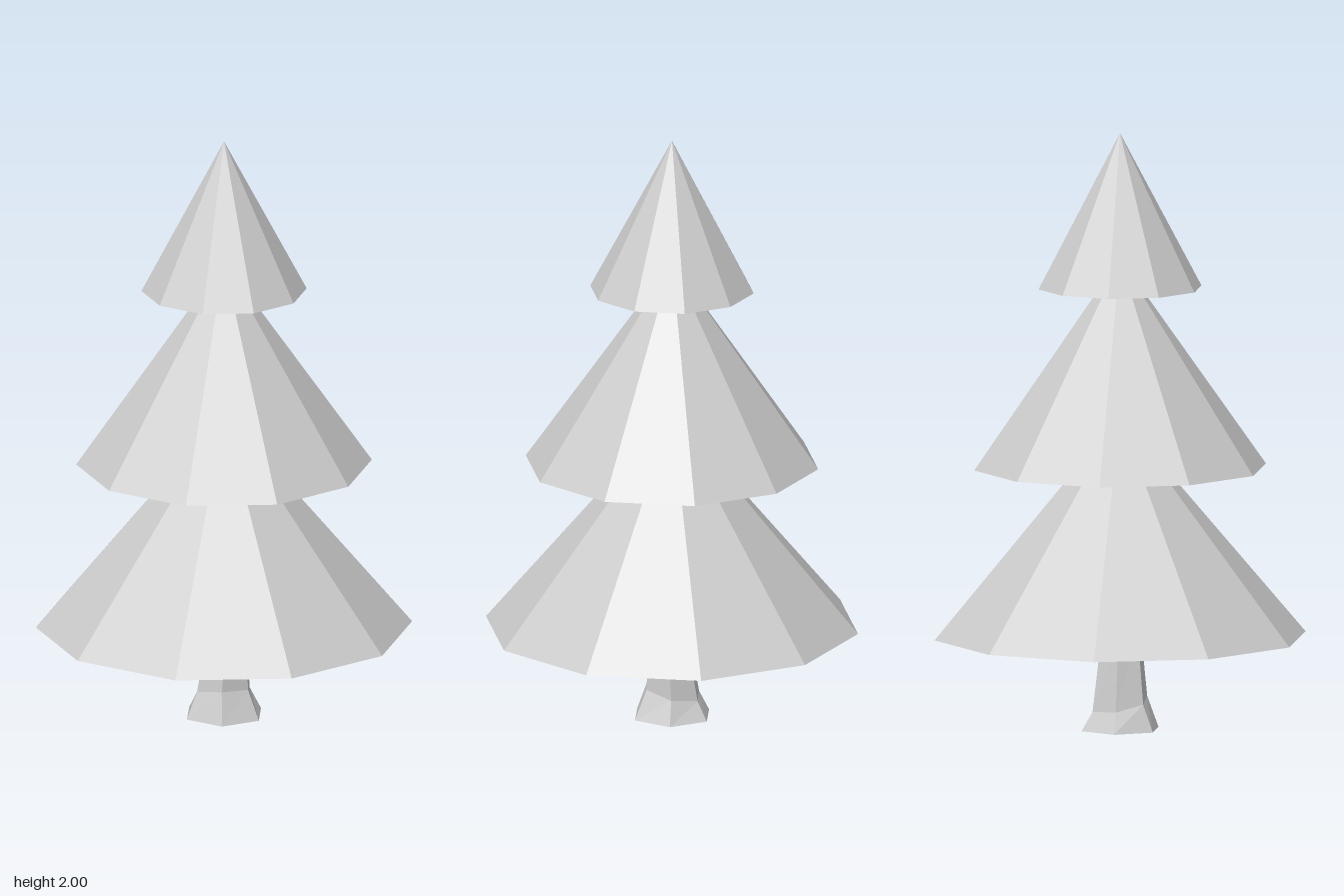
import * as THREE from 'three';

const material = new THREE.MeshStandardMaterial({ color: 0xcccccc, flatShading: true });

function part(name, geometry) {
  const mesh = new THREE.Mesh(geometry, material);
  mesh.name = name;
  return mesh;
}

// Ten-sided closed cone standing on height y, with corners on the x axis
function foliageTier(name, y, radius, height) {
  const cone = new THREE.ConeGeometry(radius, height, 10, 1, false, Math.PI / 2);
  cone.translate(0, y + height / 2, 0);
  return part(name, cone);
}

// Hexagonal trunk with a flared, slightly crooked foot
function trunk() {
  const rings = [
    { y: 0, r: 0.138, x: 0, z: 0, tilt: 0 },
    { y: 0.085, r: 0.098, x: -0.003, z: 0, tilt: 0.16 },
    { y: 0.34, r: 0.068, x: 0.018, z: 0.002, tilt: 0 },
  ];
  const geometry = new THREE.CylinderGeometry(1, 1, 2, 6, 2, false, Math.PI / 2);
  const pos = geometry.attributes.position;
  for (let i = 0; i < pos.count; i++) {
    const ring = rings[Math.round(pos.getY(i)) + 1];
    const x = pos.getX(i) * ring.r;
    const z = pos.getZ(i) * ring.r;
    pos.setXYZ(i, x + ring.x, ring.y + ring.tilt * (x + z), z + ring.z);
  }
  geometry.computeVertexNormals();
  return part('trunk', geometry);
}

export function createModel() {
  const tree = new THREE.Group();
  tree.name = 'pineTree';
  tree.add(
    trunk(),
    foliageTier('lowerFoliage', 0.313, 0.626, 0.74),
    foliageTier('middleFoliage', 0.88, 0.492, 0.7),
    foliageTier('upperFoliage', 1.482, 0.275, 0.518),
  );
  return tree;
}
